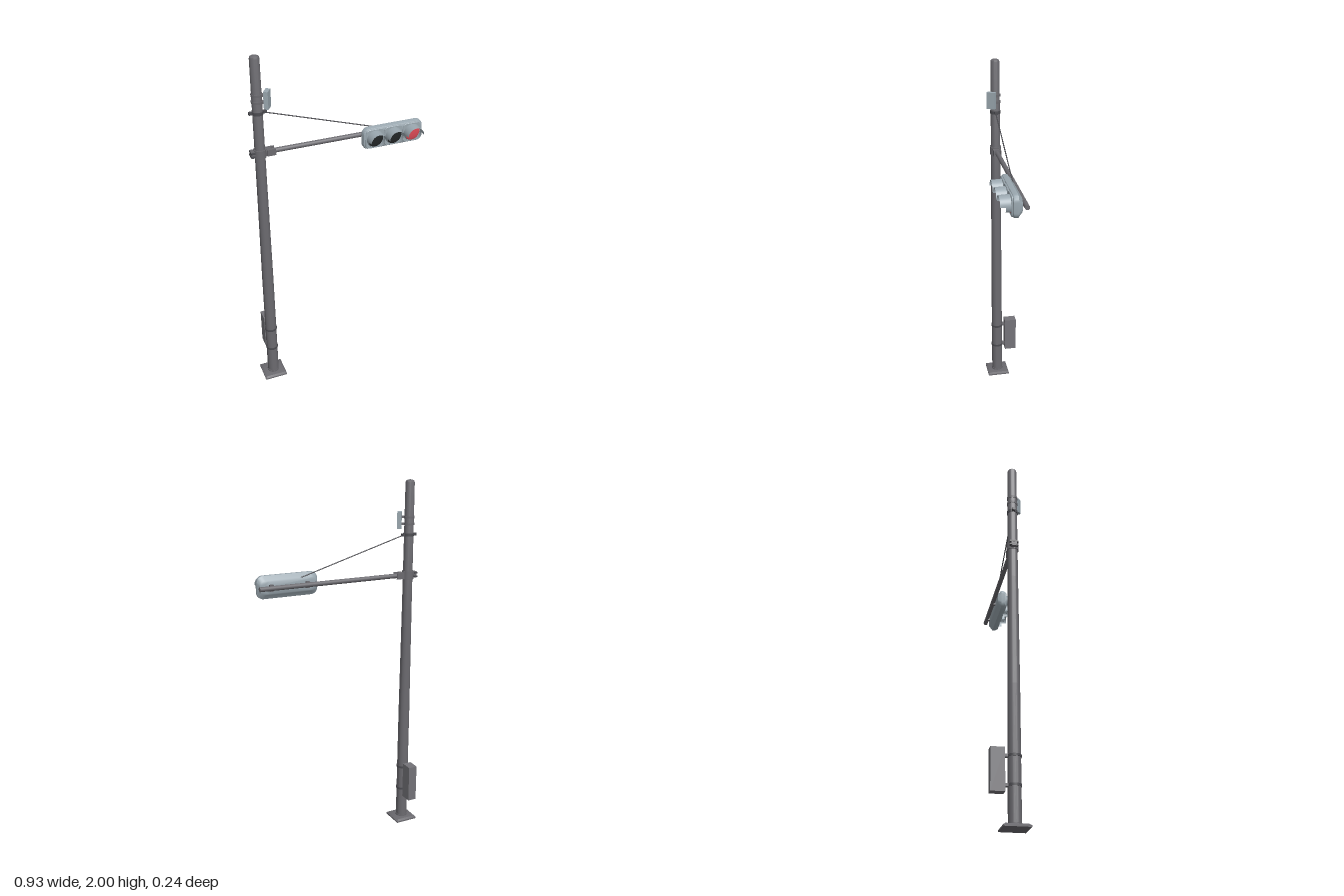
import * as THREE from 'three';
import { toCreasedNormals } from 'three/addons/utils/BufferGeometryUtils.js';

const PX = -0.4, PZ = -0.005; // pole axis
const ARM_Y = 1.49;

function material(name, color, side = THREE.FrontSide) {
  const m = new THREE.MeshStandardMaterial({ color, side });
  m.name = name;
  return m;
}

// Closed solid lofted along z through rounded rectangles [z, width, height, cornerRadius]
function loft(sections) {
  const steps = 6, n = 4 * (steps + 1), pos = [], index = [];
  for (const [z, w, h, r] of sections) {
    for (let c = 0; c < 4; c++) {
      const sx = c === 0 || c === 3 ? 1 : -1, sy = c < 2 ? 1 : -1;
      for (let i = 0; i <= steps; i++) {
        const a = (c + i / steps) * Math.PI / 2;
        pos.push(sx * (w / 2 - r) + r * Math.cos(a), sy * (h / 2 - r) + r * Math.sin(a), z);
      }
    }
  }
  const last = (sections.length - 1) * n;
  for (let s = 0; s < last; s += n) {
    for (let i = 0; i < n; i++) {
      const a = s + i, b = s + (i + 1) % n;
      index.push(a, b, a + n, b, b + n, a + n);
    }
  }
  for (let i = 1; i < n - 1; i++) {
    index.push(0, i + 1, i, last, last + i, last + i + 1);
  }
  const g = new THREE.BufferGeometry();
  g.setAttribute('position', new THREE.Float32BufferAttribute(pos, 3));
  g.setIndex(index);
  return toCreasedNormals(g, 0.6);
}

export function createModel() {
  const model = new THREE.Group();
  model.name = 'trafficSignal';

  const steel = material('poleSteel', 0x6b6a6f);
  const cabinetGrey = material('cabinetGrey', 0x747378);
  const darkSteel = material('darkSteel', 0x4c4c51);
  const housing = material('housingGrey', 0x9ba8b0);
  const visorMat = material('visorGrey', 0x9ba8b0, THREE.DoubleSide);
  const black = material('unlitLens', 0x222526);
  const red = material('redLens', 0xdb4a55);

  function add(name, geometry, mat, x = 0, y = 0, z = 0, parent = model) {
    const mesh = new THREE.Mesh(geometry, mat);
    mesh.name = name;
    mesh.position.set(x, y, z);
    parent.add(mesh);
    return mesh;
  }
  const box = (w, h, d) => new THREE.BoxGeometry(w, h, d);
  const band = (name, y, r, h, mat) =>
    add(name, new THREE.CylinderGeometry(r, r, h, 24), mat, PX, y, PZ);
  const rod = (name, a, b, r, mat) =>
    add(name, new THREE.TubeGeometry(new THREE.LineCurve3(
      new THREE.Vector3(...a), new THREE.Vector3(...b)), 1, r, 8), mat);

  // Base plate with a sloping top edge, and a collar round the pole
  const plate = loft([[0, 0.13, 0.13, 0.002], [0.008, 0.13, 0.13, 0.002], [0.016, 0.11, 0.11, 0.002]]);
  plate.rotateX(-Math.PI / 2);
  add('basePlate', plate, steel, PX, 0, PZ);
  band('baseCollar', 0.02, 0.034, 0.012, steel);

  // Tapered pole with a low domed cap
  const profile = [[0, 0.004], [0.032, 0.004], [0.031, 0.7], [0.027, 1.3], [0.0245, 1.985],
    [0.022, 1.993], [0.013, 1.998], [0, 2]].map(p => new THREE.Vector2(...p));
  add('pole', toCreasedNormals(new THREE.LatheGeometry(profile, 24), 0.6), steel, PX, 0, PZ);

  // Control cabinet strapped to the back of the pole
  add('cabinet', box(0.05, 0.21, 0.069), cabinetGrey, PX, 0.27, -0.0875);
  for (const y of [0.2, 0.34]) {
    band('cabinetStrap', y, 0.0345, 0.012, darkSteel);
    add('cabinetBracket', box(0.025, 0.014, 0.03), steel, PX, y, -0.044);
  }

  // Horizontal arm and its clamp
  const arm = new THREE.CylinderGeometry(0.0125, 0.0125, 0.845, 16);
  arm.rotateZ(Math.PI / 2);
  add('arm', arm, steel, 0.0425, ARM_Y, PZ);
  band('armClamp', ARM_Y, 0.032, 0.045, steel);
  for (const s of [-1, 1]) {
    add('armClampPlate', box(0.045, 0.034, 0.007), steel, -0.345, ARM_Y, PZ + s * 0.018);
    add('armClampBolt', box(0.02, 0.008, 0.045), darkSteel, -0.44, ARM_Y + s * 0.01, PZ);
  }
  add('armClampLug', box(0.022, 0.034, 0.03), steel, -0.438, ARM_Y, PZ);
  add('armSocket', box(0.035, 0.03, 0.03), steel, -0.36, ARM_Y, PZ);

  // Stay wire and its anchor band
  band('stayBand', 1.71, 0.029, 0.016, darkSteel);
  for (const s of [-1, 1]) {
    add('stayLug', box(0.022, 0.014, 0.016), darkSteel, PX + s * 0.034, 1.71, PZ);
  }
  rod('stayWire', [-0.375, 1.71, -0.003], [0.295, 1.507, 0.02], 0.003, darkSteel);

  // Small sensor box, turned outward from the pole
  const sensor = new THREE.Group();
  sensor.name = 'sensor';
  sensor.position.set(PX, 1.785, PZ);
  sensor.rotation.y = -0.585;
  model.add(sensor);
  add('sensorBox', box(0.023, 0.09, 0.046), housing, 0.052, 0, 0, sensor);
  for (const y of [-0.018, 0.018]) {
    band('sensorStrap', 1.785 + y, 0.0285, 0.012, steel);
    add('sensorBracket', box(0.03, 0.012, 0.016), steel, 0.032, y, 0, sensor);
  }

  // Signal head: rounded case tapering at the back
  const head = new THREE.Group();
  head.name = 'signalHead';
  head.position.set(0.2975, ARM_Y, 0);
  model.add(head);
  add('case', loft([
    [0.01, 0.265, 0.06, 0.025], [0.015, 0.315, 0.075, 0.03], [0.032, 0.333, 0.112, 0.034],
    [0.034, 0.335, 0.12, 0.034], [0.05, 0.335, 0.12, 0.034],
    [0.058, 0.328, 0.113, 0.031], [0.062, 0.314, 0.1, 0.026],
  ]), housing, 0, 0, 0, head);
  for (const x of [-0.1, 0.1]) {
    add('armBracket', box(0.02, 0.034, 0.02), steel, x, 0, 0.006, head);
  }

  // Three doors, each with a lens and a visor cut shorter below the middle
  const arc = (start, length, depth) => {
    const g = new THREE.CylinderGeometry(0.0445, 0.0465, depth, 24, 1, true, start, length);
    g.rotateX(Math.PI / 2);
    g.translate(0, 0, 0.065 + depth / 2);
    return g;
  };
  const q = Math.PI / 2, low = 0.75;
  [-0.104, 0, 0.104].forEach((x, i) => {
    add('lampDoor', loft([[0.055, 0.102, 0.106, 0.02], [0.064, 0.102, 0.106, 0.02],
      [0.067, 0.097, 0.101, 0.018]]), housing, x, 0, 0, head);
    const lens = new THREE.SphereGeometry(0.044, 24, 6, 0, Math.PI * 2, 0, q);
    lens.scale(1, 0.18, 1);
    lens.rotateX(q);
    add('lens', lens, i === 2 ? red : black, x, 0, 0.0672, head);
    add('visorTop', arc(q, Math.PI, 0.056), visorMat, x, 0, 0, head);
    add('visorSide', arc(q - low, low, 0.028), visorMat, x, 0, 0, head);
    add('visorSide', arc(3 * q, low, 0.028), visorMat, x, 0, 0, head);
  });

  return model;
}
